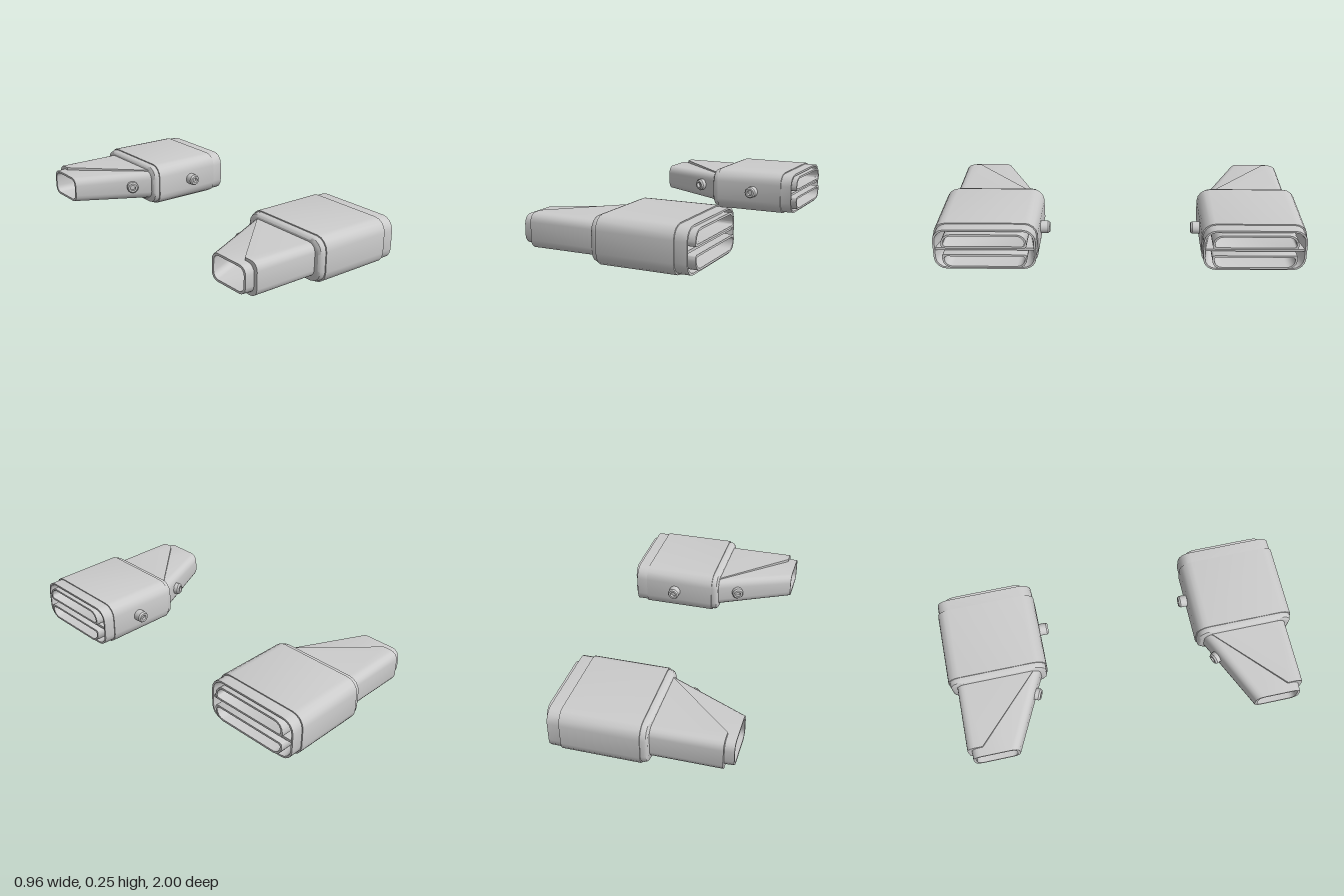
import * as THREE from 'three';
import { toCreasedNormals } from 'three/addons/utils/BufferGeometryUtils.js';

const material = new THREE.MeshStandardMaterial({ color: 0xcccccc, side: THREE.DoubleSide });
const SEG = 4;

// Rounded rectangle at x; radii run: top/outer, bottom/outer, bottom/inner, top/inner
function section(x, y0, y1, z0, z1, r) {
  const radii = Array.isArray(r) ? r : [r, r, r, r];
  const corners = [[y1, z1, -1, -1], [y0, z1, 1, -1], [y0, z0, 1, 1], [y1, z0, -1, 1]];
  const pts = [];
  corners.forEach(([y, z, sy, sz], c) => {
    for (let i = 0; i <= SEG; i++) {
      const a = (c + i / SEG) * Math.PI / 2, q = radii[c];
      pts.push([x, y + sy * q + q * Math.cos(a), z + sz * q + q * Math.sin(a)]);
    }
  });
  return pts;
}

// C-shaped section that wraps the outer side of the duct
function wrapSection(x, z0, inset, zInner) {
  const half = 2 * (SEG + 1);
  const outer = section(x, 0.035, 0.217, z0, 0.955, 0.045).slice(0, half);
  const inner = section(x, inset, 0.25 - inset, z0, zInner, 0.04).slice(0, half).reverse();
  return [[x, 0.217, z0], ...outer, [x, 0.035, z0], [x, inset, z0], ...inner, [x, 0.25 - inset, z0]];
}

// Skin over successive sections, with optional flat ends
function loft(rings, capStart = true, capEnd = true) {
  const n = rings[0].length, idx = [];
  for (let i = 0; i < rings.length - 1; i++) {
    for (let j = 0; j < n; j++) {
      const k = (j + 1) % n, a = i * n, b = a + n;
      idx.push(a + j, a + k, b + k, a + j, b + k, b + j);
    }
  }
  const last = (rings.length - 1) * n;
  for (let j = 1; j < n - 1; j++) {
    if (capStart) idx.push(0, j + 1, j);
    if (capEnd) idx.push(last, last + j, last + j + 1);
  }
  const g = new THREE.BufferGeometry();
  g.setAttribute('position', new THREE.Float32BufferAttribute(rings.flat(2), 3));
  g.setIndex(idx);
  return toCreasedNormals(g, 0.6);
}

// Copy to the opposite z side and restore the corner order
function mirrored(source) {
  const g = source.index ? source.toNonIndexed() : source.clone();
  for (const name of ['position', 'normal']) {
    const a = g.attributes[name];
    for (let i = 0; i < a.count; i++) a.setZ(i, -a.getZ(i));
    for (let i = 0; i < a.count; i += 3) {
      const p = [a.getX(i + 1), a.getY(i + 1), a.getZ(i + 1)];
      a.setXYZ(i + 1, a.getX(i + 2), a.getY(i + 2), a.getZ(i + 2));
      a.setXYZ(i + 2, ...p);
    }
  }
  return g;
}

// Short round boss with a socket in its end, pointing along dir
function boss(base, dir, length) {
  const profile = [[0.034, -0.04], [0.034, length - 0.01], [0.027, length], [0.016, length],
    [0.016, length - 0.02], [0, length - 0.02]].map(p => new THREE.Vector2(...p));
  const g = toCreasedNormals(new THREE.LatheGeometry(profile, 20), 0.6);
  const q = new THREE.Quaternion().setFromUnitVectors(new THREE.Vector3(0, 1, 0), dir.normalize());
  return g.applyQuaternion(q).translate(...base);
}

function buildParts() {
  const parts = {};

  // Main housing with a stepped rim and a recess at the outlet end
  parts.housing = loft([
    section(-0.06, 0.022, 0.228, 0.462, 0.978, 0.06),
    section(-0.052, 0.011, 0.239, 0.451, 0.989, 0.065),
    section(-0.038, 0.006, 0.244, 0.446, 0.994, 0.068),
    section(-0.024, 0.006, 0.244, 0.446, 0.994, 0.068),
    section(-0.024, 0, 0.25, 0.44, 1, 0.07),
    section(0.392, 0, 0.25, 0.44, 1, 0.07),
    section(0.392, 0.006, 0.244, 0.446, 0.994, 0.068),
    section(0.457, 0.006, 0.244, 0.446, 0.994, 0.068),
    section(0.457, 0.016, 0.234, 0.456, 0.984, 0.06),
    section(0.3, 0.026, 0.224, 0.485, 0.95, 0.055),
  ]);

  // Paired outlet lips: outer wall, rim, then the inside of the slot
  const lip = (y0, y1, top) => {
    const radii = d => top ? [0.055 - d, 0.014, 0.014, 0.055 - d] : [0.014, 0.055 - d, 0.055 - d, 0.014];
    const ring = (x, d) => section(x, y0 + d, y1 - d, 0.492 + d, 0.945 - d, radii(d));
    return loft([ring(0.3, 0), ring(0.477, 0), ring(0.477, 0.011), ring(0.31, 0.013)], false, true);
  };
  parts.upperOutletLip = lip(0.144, 0.227, true);
  parts.lowerOutletLip = lip(0.023, 0.106, false);
  parts.outletDivider = new THREE.BoxGeometry(0.15, 0.014, 0.53).translate(0.375, 0.125, 0.72);

  // Hollow inlet duct, flaring toward the housing on its inner side
  parts.inletDuct = loft([
    section(-0.12, 0.055, 0.195, 0.53, 0.92, 0.035),
    section(-0.48, 0.062, 0.188, 0.69, 0.918, 0.035),
    section(-0.48, 0.05, 0.2, 0.675, 0.932, 0.045),
    section(-0.05, 0.04, 0.21, 0.476, 0.945, 0.045),
  ], true, false);

  // Raised wedge-shaped sleeve around the outer part of the duct
  const sleeveStart = wrapSection(-0.43, 0.865, 0.053, 0.925);
  parts.ductSleeve = loft([sleeveStart, wrapSection(-0.05, 0.51, 0.046, 0.935)], false, false);
  const outline = new THREE.Shape(sleeveStart.map(p => new THREE.Vector2(p[2], p[1])));
  parts.sleeveEnd = new THREE.ShapeGeometry(outline).rotateY(-Math.PI / 2).translate(-0.43, 0, 0);

  // Sensor bosses on the inner side
  parts.housingBoss = boss([0.21, 0.13, 0.44], new THREE.Vector3(0, 0, -1), 0.05);
  parts.ductBoss = boss([-0.168, 0.13, 0.532], new THREE.Vector3(-0.42, 0, -0.91), 0.034);
  return parts;
}

export function createModel() {
  const model = new THREE.Group();
  const front = new THREE.Group(), rear = new THREE.Group();
  front.name = 'frontUnit';
  rear.name = 'rearUnit';
  for (const [name, geometry] of Object.entries(buildParts())) {
    for (const [group, g] of [[front, geometry], [rear, mirrored(geometry)]]) {
      const mesh = new THREE.Mesh(g, material);
      mesh.name = name;
      group.add(mesh);
    }
  }
  model.add(front, rear);
  return model;
}
